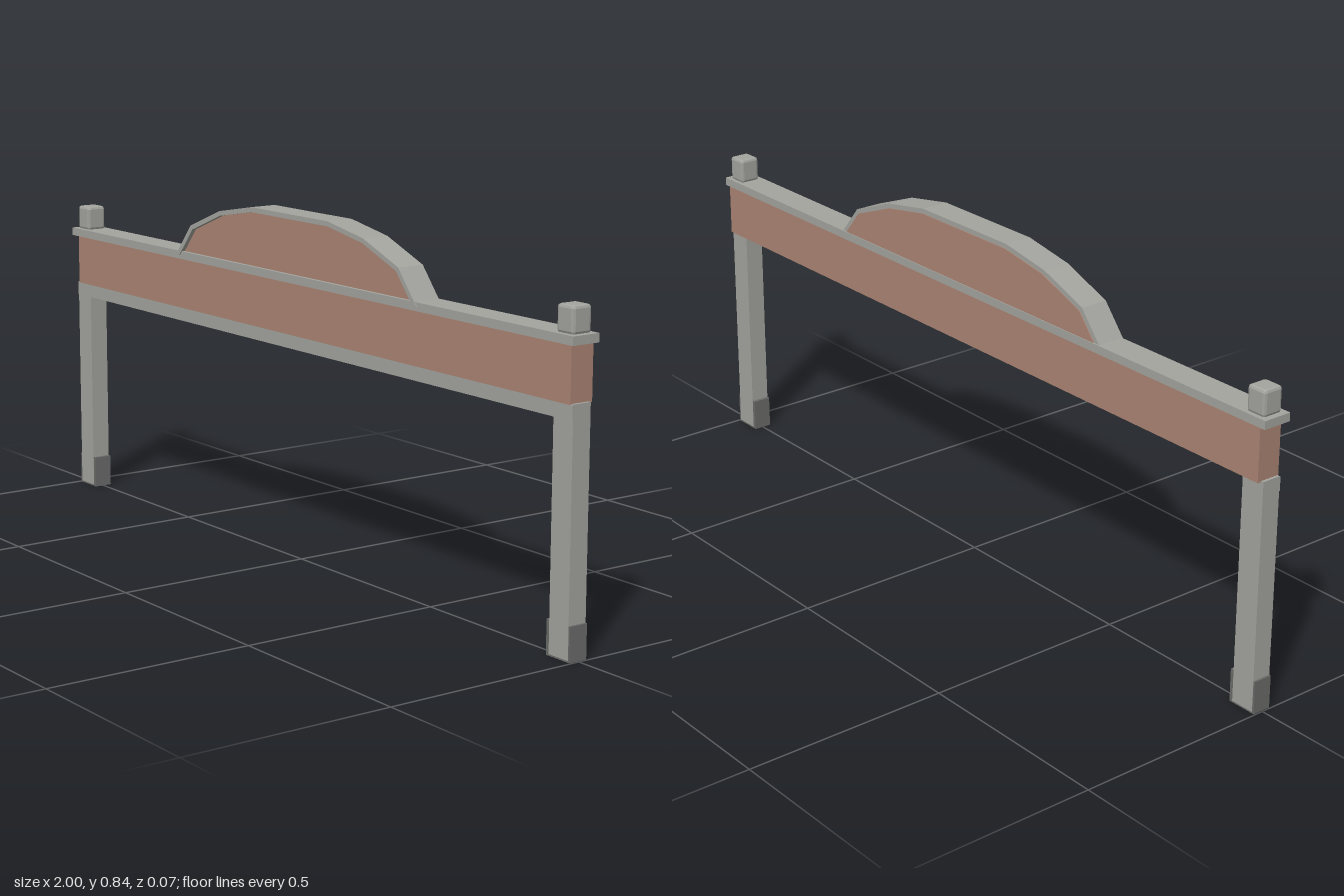
import * as THREE from 'three';
import { RoundedBoxGeometry } from 'three/addons/geometries/RoundedBoxGeometry.js';

const mat = (name, color) => new THREE.MeshStandardMaterial({ name, color });

export function createModel() {
  const stone = mat('stone grey', 0xa3a49e);
  const brick = mat('brick', 0xab8473);
  const base = mat('dark stone', 0x6a6b69);
  const model = new THREE.Group();
  model.name = 'gateway';

  const add = (name, geometry, material) => {
    const mesh = new THREE.Mesh(geometry, material);
    mesh.name = name;
    model.add(mesh);
    return mesh;
  };
  // box given by its limits on each axis
  const box = (name, material, [x0, x1], [y0, y1], [z0, z1]) => {
    const mesh = add(name, new THREE.BoxGeometry(x1 - x0, y1 - y0, z1 - z0), material);
    mesh.position.set((x0 + x1) / 2, (y0 + y1) / 2, (z0 + z1) / 2);
    return mesh;
  };
  // outline extruded between two depths
  const slab = (name, material, points, z0, z1) => {
    const shape = new THREE.Shape(points.map(([x, y]) => new THREE.Vector2(x, y)));
    const geometry = new THREE.ExtrudeGeometry(shape, { depth: z1 - z0, bevelEnabled: false });
    add(name, geometry, material).position.z = z0;
  };

  // horizontal beam: brick band, front rail and coping
  box('brickBand', brick, [-0.985, 0.985], [0.553, 0.68], [-0.034, 0.026]);
  box('frontRail', stone, [-0.992, 0.992], [0.52, 0.553], [0.016, 0.026]);
  box('coping', stone, [-1, 1], [0.68, 0.7], [-0.036, 0.036]);

  // legs, feet and finials, mirrored
  for (const side of [-1, 1]) {
    const span = (a, b) => (side > 0 ? [a, b] : [-b, -a]);
    box('leg', stone, span(0.931, 0.992), [0.004, 0.555], [-0.024, 0.024]);
    box('foot', base, span(0.922, 0.997), [0, 0.08], [-0.0235, 0.0235]);
    const block = new RoundedBoxGeometry(0.052, 0.062, 0.052, 1, 0.007);
    block.computeVertexNormals();
    add('finial', block, stone).position.set(side * 0.961, 0.729, -0.001);
  }

  // faceted arched crest: a stone rim around a brick panel
  const mirrored = (half) => [...half, ...half.map(([x, y]) => [-x, y]).reverse()];
  const outer = mirrored([[0.487, 0.69], [0.42, 0.77], [0.29, 0.82], [0.155, 0.844]]);
  const inner = mirrored([[0.472, 0.69], [0.412, 0.761], [0.287, 0.809], [0.154, 0.832]]);
  slab('crestRim', stone, [...outer, ...inner.slice().reverse()], -0.032, 0.038);
  slab('crestPanel', brick, inner, -0.034, 0.027);

  return model;
}
